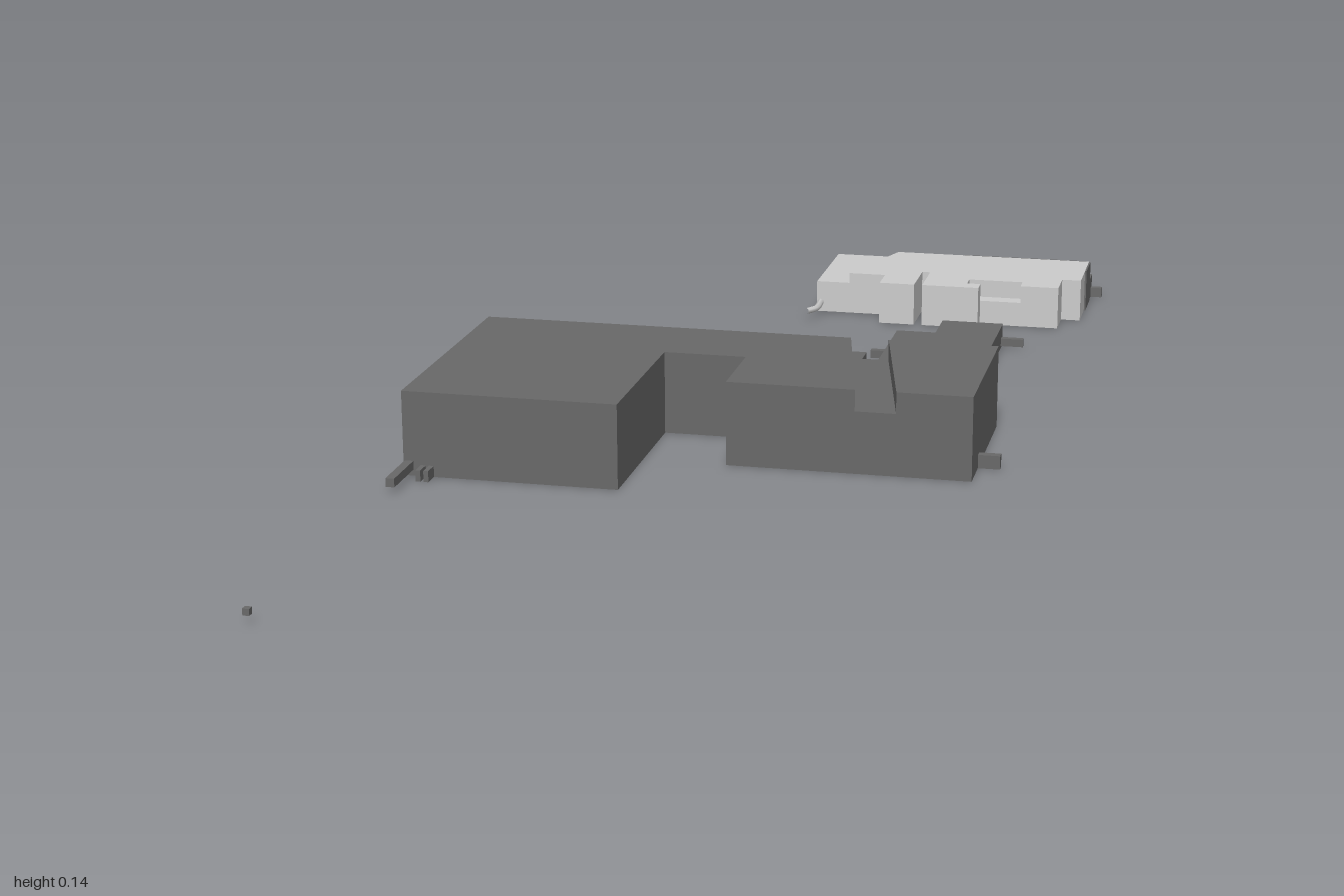
import * as THREE from 'three';

const dark = new THREE.MeshStandardMaterial({ color: 0x696969 });
dark.name = 'darkGrey';
const light = new THREE.MeshStandardMaterial({ color: 0xcccccc });
light.name = 'lightGrey';

export function createModel() {
  const model = new THREE.Group();
  model.name = 'buildingBlocks';

  const add = (name, geometry, material) => {
    const mesh = new THREE.Mesh(geometry, material);
    mesh.name = name;
    model.add(mesh);
    return mesh;
  };

  // Floor plan of [x, z] corners raised from the ground
  const block = (name, plan, height, material) => {
    const shape = new THREE.Shape(plan.map(([x, z]) => new THREE.Vector2(x, -z)));
    const geometry = new THREE.ExtrudeGeometry(shape, { depth: height, bevelEnabled: false });
    geometry.rotateX(-Math.PI / 2);
    return add(name, geometry, material);
  };

  // Box given by its limits on each axis
  const box = (name, [x0, x1], [y0, y1], [z0, z1], material) => {
    const mesh = add(name, new THREE.BoxGeometry(x1 - x0, y1 - y0, z1 - z0), material);
    mesh.position.set((x0 + x1) / 2, (y0 + y1) / 2, (z0 + z1) / 2);
    return mesh;
  };

  // Main hall with a slanted channel across the east wing
  block('mainHall', [
    [-0.48, -0.105], [-0.48, 0.345], [-0.135, 0.345], [-0.135, 0.045],
    [0, 0.045], [0, 0.19], [0.205, 0.19], [0.145, -0.105],
  ], 0.137, dark);
  block('channelFloor', [[0.145, -0.105], [0.205, 0.19], [0.27, 0.19], [0.208, -0.105]], 0.102, dark);
  block('eastWing', [[0.208, -0.105], [0.27, 0.19], [0.39, 0.19], [0.39, -0.105]], 0.137, dark);

  // Lower annex behind the hall
  block('rearAnnex', [
    [-0.255, -0.105], [0.145, -0.105], [0.145, -0.257], [-0.13, -0.257], [-0.13, -0.187],
  ], 0.07, dark);

  // Low stepped link building
  block('linkBuilding', [
    [0.155, -0.215], [0.29, -0.215], [0.29, -0.4], [0.335, -0.4],
    [0.335, -0.6], [0.225, -0.6], [0.225, -0.515], [0.155, -0.515],
  ], 0.04, dark);

  // Pale building with a slot and a cut-out in its front
  block('paleBuilding', [
    [0.085, -0.95], [0.022, -0.765], [0.09, -0.765], [0.09, -0.705], [0.155, -0.705],
    [0.155, -0.803], [0.17, -0.803], [0.17, -0.705], [0.275, -0.705], [0.275, -0.735],
    [0.25, -0.735], [0.25, -0.765], [0.35, -0.765], [0.35, -0.735], [0.42, -0.735],
    [0.42, -0.8], [0.455, -0.8], [0.455, -0.95],
  ], 0.077, light);
  box('cutOutFloor', [0.25, 0.35], [0, 0.045], [-0.765, -0.735], light);
  block('paleSideWing', [
    [-0.04, -0.985], [-0.04, -0.765], [0.022, -0.765], [0.085, -0.95], [0.085, -0.985],
  ], 0.058, light);

  // Dark parts on the pale building
  box('rearLedge', [0.215, 0.457], [0, 0.04], [-1, -0.95], dark);
  box('rearWallPanel', [0.215, 0.455], [0.04, 0.077], [-0.953, -0.95], dark);
  box('endWallPanel', [0.455, 0.458], [0, 0.077], [-0.95, -0.875], dark);

  // Paired pipes at both ends of the hall's west side
  for (const [near, long, short] of [[0.345, 0.435, 0.372], [-0.105, -0.225, -0.135]]) {
    const span = (end) => [Math.min(near, end), Math.max(near, end)];
    box('longPipe', [-0.478, -0.464], [0.01, 0.024], span(long), dark);
    for (const x of [-0.452, -0.439]) box('shortPipe', [x, x + 0.008], [0, 0.018], span(short), dark);
  }

  // Straight pipe stubs
  box('eastPipe', [0.39, 0.425], [0, 0.022], [0.107, 0.121], dark);
  box('linkEastPipe', [0.335, 0.375], [0.004, 0.018], [-0.59, -0.578], dark);
  box('linkWestPipe', [0.118, 0.155], [0.004, 0.018], [-0.464, -0.452], dark);
  box('ledgePipe', [0.457, 0.478], [0, 0.018], [-0.992, -0.98], dark);
  box('rearPipe', [0.164, 0.174], [0.004, 0.018], [-0.97, -0.95], dark);
  box('markerStone', [-0.48, -0.47], [0.014, 0.024], [0.99, 1], dark);

  // Bent pipes on the pale side wing
  const bends = [
    ['frontBentPipe', [[-0.033, -0.77], [-0.033, -0.715], [-0.046, -0.692]]],
    ['rearBentPipe', [[0.08, -0.958], [0.092, -0.968], [0.103, -0.97], [0.117, -0.994]]],
  ];
  for (const [name, path] of bends) {
    const curve = new THREE.CatmullRomCurve3(path.map(([x, z]) => new THREE.Vector3(x, 0.018, z)));
    add(name, new THREE.TubeGeometry(curve, 10, 0.006, 6), light);
  }

  return model;
}
